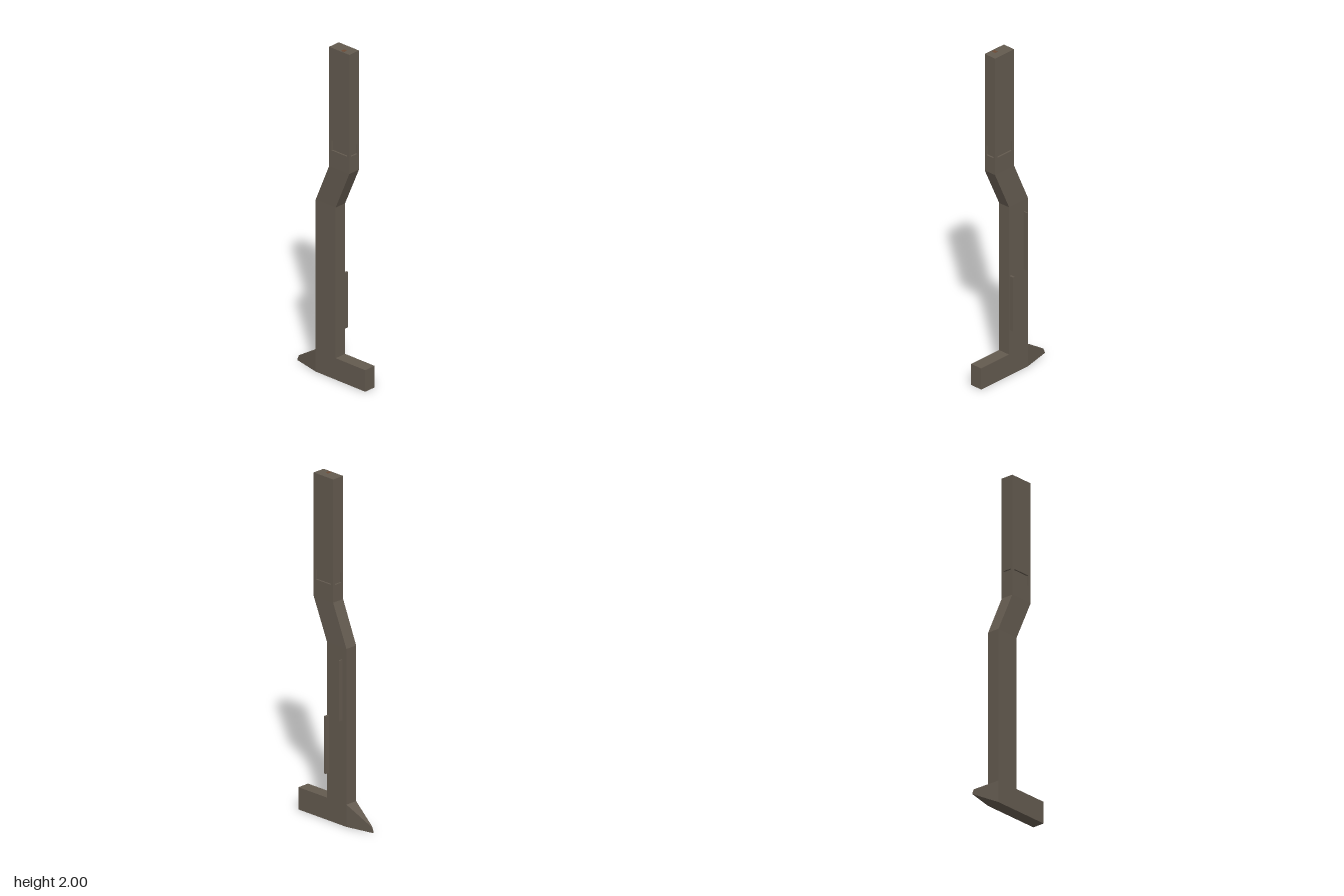
import * as THREE from 'three';

// Flat-faced solid through matching rings, each counter-clockwise seen from the far end
function loft(rings) {
  const pos = [];
  const tri = (...p) => p.forEach((v) => pos.push(...v));
  const quad = (a, b, c, d) => tri(a, b, c, a, c, d);
  for (let k = 0; k + 1 < rings.length; k++) {
    const a = rings[k], b = rings[k + 1];
    for (let i = 0; i < 4; i++) {
      const j = (i + 1) % 4;
      quad(a[i], a[j], b[j], b[i]);
    }
  }
  const first = rings[0], last = rings[rings.length - 1];
  quad(first[3], first[2], first[1], first[0]);
  quad(...last);
  const g = new THREE.BufferGeometry();
  g.setAttribute('position', new THREE.Float32BufferAttribute(pos, 3));
  g.computeVertexNormals();
  return g;
}

// Horizontal ring of the shaft
const level = (y, x0, x1, z0, z1) => [[x0, y, z1], [x1, y, z1], [x1, y, z0], [x0, y, z0]];
// Upright ring of the foot, running towards the back
const slice = (z, x0, x1, y1) => [[x1, 0, z], [x0, 0, z], [x0, y1, z], [x1, y1, z]];

export function createModel() {
  const group = new THREE.Group();
  const metal = new THREE.MeshStandardMaterial({ color: 0x635a4f });
  metal.name = 'weathered metal';
  const rust = new THREE.MeshStandardMaterial({ color: 0x6c4b36 });
  rust.name = 'rust';

  const add = (name, geometry, material = metal) => {
    const mesh = new THREE.Mesh(geometry, material);
    mesh.name = name;
    group.add(mesh);
    return mesh;
  };
  const box = (name, x0, x1, y0, y1, z0, z1, material) =>
    add(name, new THREE.BoxGeometry(x1 - x0, y1 - y0, z1 - z0), material)
      .position.set((x0 + x1) / 2, (y0 + y1) / 2, (z0 + z1) / 2);

  // Cranked shaft below the recessed band, straight shaft above it
  const L = -0.054, R = 0.023, B = 0.007, F = 0.157;
  const bandLow = 1.38, bandHigh = 1.44;
  add('lowerShaft', loft([
    level(0.13, -0.048, 0.027, -0.099, 0.05),
    level(1.04, -0.048, 0.027, -0.099, 0.05),
    level(1.28, L, R, B, F),
    level(bandLow, L, R, B, F),
  ]));
  add('upperShaft', loft([level(bandHigh, L, R, B, F), level(2, L, R, B, F)]));

  // Band with one shallow recess in each face
  const d = 0.01, px = 0.013, pz = 0.018;
  const outline = [
    [L, F], [L + px, F], [L + px, F - d], [R - px, F - d], [R - px, F], [R, F],
    [R, F - pz], [R - d, F - pz], [R - d, B + pz], [R, B + pz], [R, B],
    [R - px, B], [R - px, B + d], [L + px, B + d], [L + px, B], [L, B],
    [L, B + pz], [L + d, B + pz], [L + d, F - pz], [L, F - pz],
  ];
  const shape = new THREE.Shape(outline.map(([x, z]) => new THREE.Vector2(x, -z)));
  const band = new THREE.ExtrudeGeometry(shape, { depth: bandHigh - bandLow, bevelEnabled: false });
  band.rotateX(-Math.PI / 2).translate(0, bandLow, 0);
  add('recessedBand', band);

  // Foot block with a wedge tapering to a point at the back
  add('foot', loft([
    slice(0.27, -0.048, 0.027, 0.13),
    slice(-0.099, -0.048, 0.027, 0.13),
    slice(-0.255, -0.014, -0.007, 0.035),
    slice(-0.27, -0.011, -0.01, 0.008),
  ]));

  // Thin side fins
  box('upperFin', 0.02, 0.054, 0.615, 0.97, -0.07, -0.063);
  box('lowerFin', 0.02, 0.054, 0.28, 0.615, 0.034, 0.047);

  // Small rust patch on the top
  box('rustPatch', -0.047, -0.022, 1.999, 2.0005, 0.088, 0.11, rust);
  return group;
}
